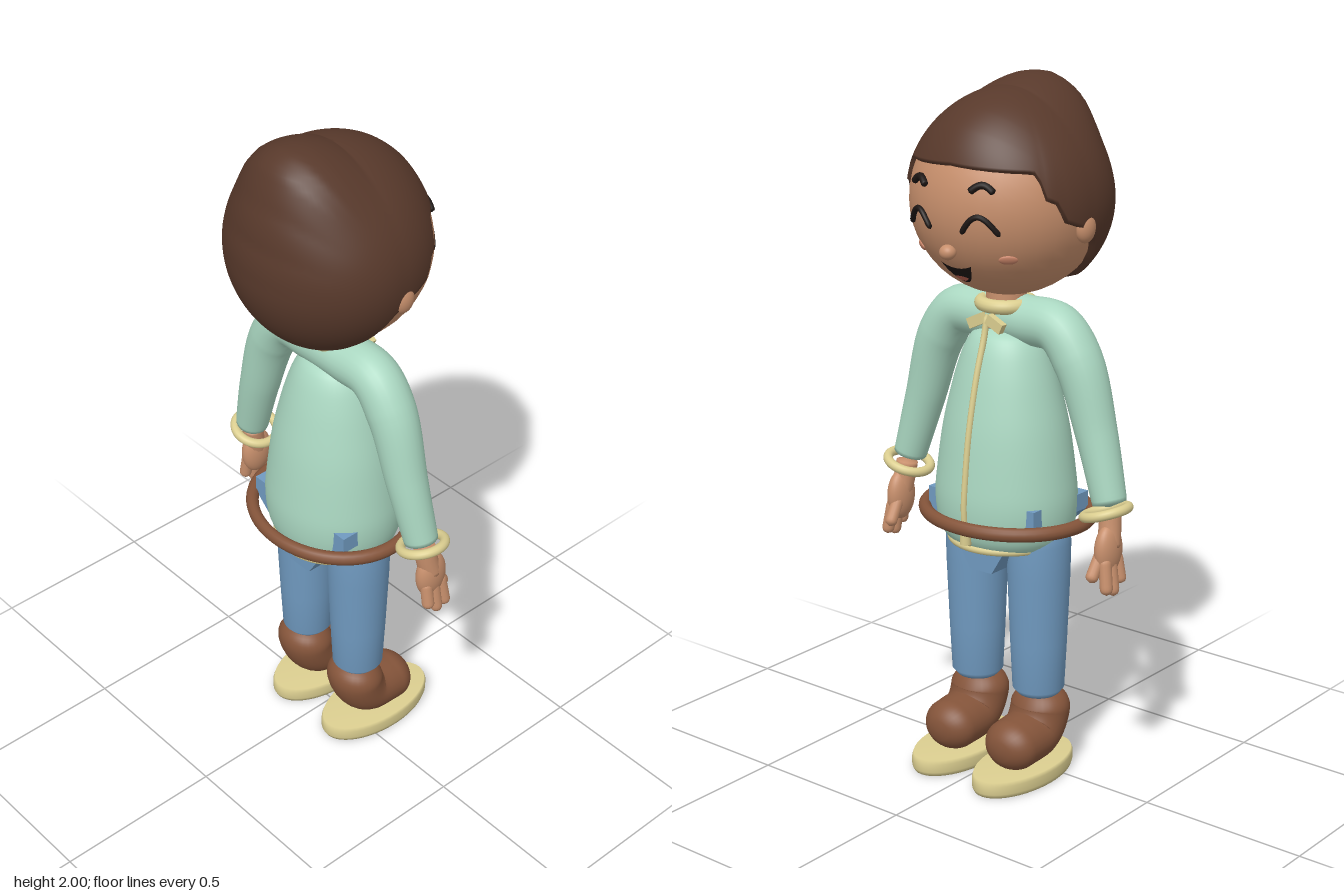
import * as THREE from 'three';
import { mergeVertices } from 'three/addons/utils/BufferGeometryUtils.js';

const mat = (name, color, side = THREE.FrontSide) => {
  const m = new THREE.MeshStandardMaterial({ color, side });
  m.name = name;
  return m;
};
const V = (x, y, z) => new THREE.Vector3(x, y, z);

// Linear lookup in a short list of [key, value] pairs
function lookup(table, k) {
  for (let i = 1; i < table.length; i++) {
    const [a, va] = table[i - 1], [b, vb] = table[i];
    if (k <= b) return va + (vb - va) * Math.max(0, (k - a) / (b - a));
  }
  return table[table.length - 1][1];
}

// Tube with radius r(u) and rounded ends of length a (share of the path)
function sweep(points, r, a, segs = 40, sides = 24) {
  const path = new THREE.CatmullRomCurve3(points);
  const g = new THREE.TubeGeometry(path, segs, 1, sides);
  const p = g.attributes.position, uv = g.attributes.uv, v = V();
  for (let i = 0; i < p.count; i++) {
    const u = uv.getX(i), c = path.getPointAt(u), d = Math.min(u, 1 - u);
    const k = d < a ? Math.sqrt(Math.max(0, 1 - ((a - d) / a) ** 2)) : 1;
    v.fromBufferAttribute(p, i).sub(c).multiplyScalar(r(u) * k).add(c);
    p.setXYZ(i, v.x, v.y, v.z);
  }
  return smooth(g);
}
function smooth(g) {
  g.deleteAttribute('uv');
  g.deleteAttribute('normal');
  const m = mergeVertices(g, 1e-5);
  m.computeVertexNormals();
  return m;
}

const HEAD_Y = 1.67, FACE = [0.272, 0.268, 0.272];
// Point on the face at x, y, raised by off
function onFace(x, y, off = 0) {
  const [a, b, c] = FACE.map((f) => f + off);
  return V(x, y, -c * Math.sqrt(1 - (x / a) ** 2 - ((y - HEAD_Y) / b) ** 2));
}

// Hair shell: hairline angle by azimuth (0 = face), and midline radius by angle from the crown
const HAIRLINE = [[0, 65], [50, 68], [56, 69], [59, 83], [66, 86], [72, 97], [85, 102], [95, 109],
  [107, 127], [125, 142], [150, 150], [180, 153]];
const MIDLINE = [[-65, 0.277], [-44, 0.292], [-30, 0.297], [0, 0.303], [17, 0.345], [25, 0.36],
  [34, 0.358], [50, 0.316], [70, 0.287], [90, 0.28], [113, 0.283], [146, 0.29], [180, 0.285]];
function hairGeometry() {
  const g = new THREE.SphereGeometry(1, 120, 48, 0, Math.PI * 2, 0, 3.1415);
  const p = g.attributes.position, uv = g.attributes.uv;
  for (let i = 0; i < p.count; i++) {
    const phi = uv.getX(i) * Math.PI * 2, t = 1 - uv.getY(i);
    const dx = -Math.cos(phi), dz = Math.sin(phi);
    const az = THREE.MathUtils.radToDeg(Math.atan2(Math.abs(dx), -dz));
    const th = THREE.MathUtils.degToRad(t * lookup(HAIRLINE, az));
    const x = dx * Math.sin(th), y = Math.cos(th), z = dz * Math.sin(th);
    let r = 1 / Math.hypot(x / 0.288, y / 0.28, z / 0.275);
    const mid = lookup(MIDLINE, THREE.MathUtils.radToDeg(Math.atan2(z, y)));
    const ell = 1 / Math.hypot(y / 0.28, z / 0.275) * Math.hypot(y, z);
    r *= 1 + (mid / ell - 1) * (1 - x * x) ** 3;
    if (t > 0.995) r = 0.255; // tuck the rim into the head
    p.setXYZ(i, x * r * (1 + 0.25 * Math.max(0, z * r)), y * r, z * r);
  }
  return smooth(g);
}

// Thin patch on the face between two height curves
function facePatch(w, low, high, off, n = 16, m = 5) {
  const pos = [], idx = [];
  for (let i = 0; i <= n; i++) for (let j = 0; j <= m; j++) {
    const s = i / n * 2 - 1, y = low(s) + (high(s) - low(s)) * j / m;
    pos.push(...onFace(s * w, y, off).toArray());
    if (i < n && j < m) {
      const a = i * (m + 1) + j, b = a + m + 1;
      idx.push(a, a + 1, b, b, a + 1, b + 1);
    }
  }
  const g = new THREE.BufferGeometry();
  g.setAttribute('position', new THREE.Float32BufferAttribute(pos, 3));
  g.setIndex(idx);
  g.computeVertexNormals();
  return g;
}

export function createModel() {
  const root = new THREE.Group();
  const skin = mat('skin', 0xc78f6c), hair = mat('hair brown', 0x58392b);
  const knit = mat('mint sweater', 0xaad7c1), cream = mat('cream trim', 0xdbce90);
  const denim = mat('denim', 0x709ac0), leather = mat('brown leather', 0x84543a);
  const ink = mat('dark lines', 0x1d1614, THREE.DoubleSide);
  const blush = mat('blush', 0xc98468), tongueRed = mat('tongue', 0xb9604f, THREE.DoubleSide);

  const add = (name, geo, m, x = 0, y = 0, z = 0, parent = root) => {
    const mesh = new THREE.Mesh(geo, m);
    mesh.name = name;
    mesh.position.set(x, y, z);
    parent.add(mesh);
    return mesh;
  };
  const ball = (name, m, x, y, z, rx, ry, rz, parent) => {
    const b = add(name, new THREE.SphereGeometry(1, 32, 24), m, x, y, z, parent);
    b.scale.set(rx, ry, rz);
    return b;
  };
  const ring = (name, m, r, tube, x, y, z, zScale = 1) => {
    const g = new THREE.TorusGeometry(r, tube, 14, 56).rotateX(Math.PI / 2).scale(1, 1, zScale);
    return add(name, g, m, x, y, z);
  };

  // Head
  ball('head', skin, 0, HEAD_Y, 0, ...FACE);
  add('hair', hairGeometry(), hair, 0, HEAD_Y, 0);
  add('neck', new THREE.CylinderGeometry(0.055, 0.06, 0.14, 24), skin, 0, 1.38, -0.01);
  ball('nose', skin, 0, 1.558, -0.258, 0.024, 0.021, 0.022);
  add('mouth', facePatch(0.052, (s) => 1.462 + 0.058 * s * s, (s) => 1.508 + 0.012 * s * s, 0.004), ink);
  add('tongue', facePatch(0.024, (s) => 1.468 + 0.012 * s * s, (s) => 1.484 - 0.004 * s * s, 0.007), tongueRed);
  for (const s of [-1, 1]) {
    ball('ear', skin, s * 0.268, 1.62, -0.008, 0.025, 0.043, 0.033);
    const cheek = ball('cheek', blush, 0, 0, 0, 0.026, 0.014, 0.006);
    cheek.position.copy(onFace(s * 0.15, 1.545));
    cheek.lookAt(cheek.position.clone().multiplyScalar(2).sub(V(0, HEAD_Y, 0)));
    const arc = (name, x0, x1, y, h, r) => {
      const pts = [0, 1, 2, 3, 4, 5, 6].map((i) => {
        const t = i / 6;
        return onFace(s * (x0 + (x1 - x0) * t), y + h * Math.sin(Math.PI * t), 0.004);
      });
      add(name, sweep(pts, () => r, 0.08, 24, 10), ink);
    };
    arc('closedEye', 0.052, 0.152, 1.615, 0.05, 0.008);
    arc('eyebrow', 0.075, 0.138, 1.728, 0.02, 0.01);
  }

  // Sweater: torso, and one sweep from cuff to cuff over the shoulders
  const profile = [[0, 0.69], [0.15, 0.69], [0.185, 0.705], [0.205, 0.75], [0.212, 0.82], [0.205, 0.9],
    [0.188, 1.02], [0.165, 1.12], [0.142, 1.2], [0.115, 1.265], [0.08, 1.3], [0, 1.32]];
  const curve = new THREE.SplineCurve(profile.map(([r, y]) => new THREE.Vector2(r, y)));
  const outline = curve.getPoints(44).map((p) => p.setX(Math.max(0, p.x)));
  add('torso', new THREE.LatheGeometry(outline, 48).scale(1, 1, 0.88), knit, 0, 0, -0.01);
  const half = [V(0.365, 0.855, -0.01), V(0.308, 1.05, 0), V(0.245, 1.24, 0), V(0.175, 1.325, 0), V(0.07, 1.332, 0)];
  const arms = [...half, ...half.slice().reverse().map((p) => V(-p.x, p.y, p.z))];
  add('sleevesAndShoulders', sweep(arms, (u) => 0.048 + 0.022 * Math.min(1, Math.min(u, 1 - u) / 0.3), 0.01, 120), knit);
  ring('hem', cream, 0.16, 0.012, 0, 0.695, -0.005, 1);
  ring('collar', cream, 0.068, 0.02, 0, 1.376, -0.012);
  const zip = [[1.36, -0.095], [1.3, -0.106], [1.2, -0.137], [1.12, -0.157], [1.02, -0.177], [0.9, -0.192],
    [0.82, -0.198], [0.75, -0.192], [0.7, -0.17]];
  add('zip', sweep(zip.map(([y, z]) => V(0, y, z)), () => 0.009, 0.02, 50, 10), cream);
  add('zipPull', new THREE.CylinderGeometry(0.016, 0.016, 0.03, 16), cream, 0, 0.73, -0.192);
  for (const s of [-1, 1]) {
    const tab = add('collarTab', new THREE.BoxGeometry(0.055, 0.03, 0.02), cream, s * 0.033, 1.335, -0.098);
    tab.rotation.z = -s * 0.45;
  }

  // Hips and belt
  const hip = [[0.19, 0.83], [0.19, 0.78], [0.08, 0.68], [0.04, 0.615]];
  const hipShape = new THREE.Shape([...hip, ...hip.slice().reverse().map(([x, y]) => [-x, y])]
    .map(([x, y]) => new THREE.Vector2(x, y)));
  add('hips', new THREE.ExtrudeGeometry(hipShape, { depth: 0.25, bevelEnabled: false }), denim, 0, 0, -0.127);
  ring('belt', leather, 0.25, 0.02, 0, 0.77, -0.003, 0.86);

  for (const s of [-1, 1]) {
    // Cuff and hand
    ring('cuff', cream, 0.063, 0.014, s * 0.358, 0.842, -0.02).rotation.z = s * 0.3;
    const hand = new THREE.Group();
    hand.name = 'hand';
    root.add(hand);
    ball('palm', skin, s * 0.378, 0.74, -0.035, 0.032, 0.075, 0.05, hand);
    add('wrist', sweep([V(s * 0.368, 0.85, -0.015), V(s * 0.373, 0.8, -0.022), V(s * 0.38, 0.74, -0.035)],
      () => 0.032, 0.1, 12, 16), skin, 0, 0, 0, hand);
    const finger = (name, a, b, r) => add(name, sweep([a, a.clone().lerp(b, 0.5), b], () => r, 0.18, 16, 14), skin, 0, 0, 0, hand);
    [[0, 0.64], [-0.033, 0.612], [-0.064, 0.622]].forEach(([z, y]) =>
      finger('finger', V(s * 0.385, 0.73, z * 0.8 - 0.01), V(s * 0.402, y, z - 0.008), 0.018));
    finger('thumb', V(s * 0.37, 0.745, -0.05), V(s * 0.366, 0.66, -0.102), 0.018);

    // Trouser leg
    const leg = [[0, 0.235], [0.06, 0.237], [0.075, 0.255], [0.082, 0.4], [0.09, 0.6], [0.092, 0.7], [0.085, 0.8], [0, 0.82]];
    add('leg', new THREE.LatheGeometry(leg.map(([r, y]) => new THREE.Vector2(r, y)), 32), denim, s * 0.113, 0, -0.004);

    // Boot and sole
    const boot = [V(0, 0.255, 0.005), V(0, 0.18, 0.004), V(0, 0.125, -0.03), V(0, 0.112, -0.1), V(0, 0.108, -0.19)];
    add('boot', sweep(boot, (u) => 0.08 - 0.008 * u, 0.22, 48, 28).scale(1.16, 1, 1), leather, s * 0.113, 0, 0);
    const sole = [[0, 0], [0.97, 0], [1, 0.012], [1, 0.036], [0.97, 0.048], [0, 0.048]];
    add('sole', new THREE.LatheGeometry(sole.map(([r, y]) => new THREE.Vector2(r, y)), 48).scale(0.103, 1, 0.195),
      cream, s * 0.113, 0, -0.075);
  }
  return root;
}
